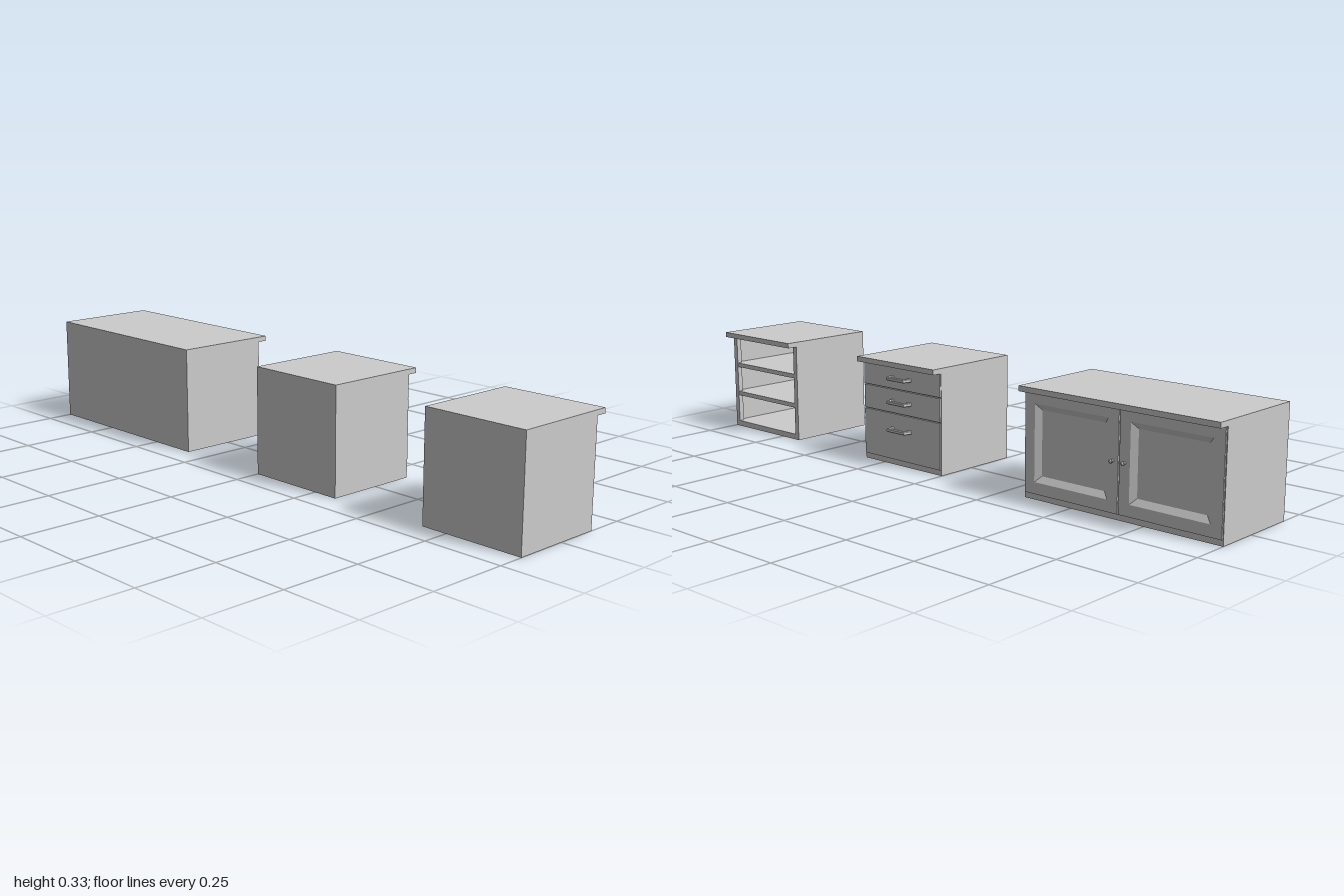
import * as THREE from 'three';

const grey = new THREE.MeshStandardMaterial({ color: 0xcccccc, flatShading: true, side: THREE.DoubleSide });
const H = 0.333, TOP = 0.317, RAIL = 0.018, BACK = -0.167, BODY = 0.133, FACE = 0.138, EDGE = 0.167;
const WALL = 0.002, BOARD = 0.0167;

function add(parent, name, geometry) {
  const mesh = new THREE.Mesh(geometry, grey);
  mesh.name = name;
  parent.add(mesh);
  return mesh;
}

// box given by its minimum and maximum on each axis
function block(parent, name, x0, x1, y0, y1, z0, z1) {
  const mesh = add(parent, name, new THREE.BoxGeometry(x1 - x0, y1 - y0, z1 - z0));
  mesh.position.set((x0 + x1) / 2, (y0 + y1) / 2, (z0 + z1) / 2);
  return mesh;
}

// hollow carcass without a floor, with worktop and bottom rail; its front is local +z
function carcass(name, width, x) {
  const g = new THREE.Group(), w = width / 2;
  g.name = name;
  block(g, 'worktop', -w, w, TOP, H, BACK, EDGE);
  block(g, 'backPanel', -w, w, 0, TOP, BACK, BACK + WALL);
  block(g, 'leftSide', w - WALL, w, 0, TOP, BACK, BODY);
  block(g, 'rightSide', -w, -w + WALL, 0, TOP, BACK, BODY);
  block(g, 'bottomRail', -w, w, 0, RAIL, BODY - BOARD, BODY);
  g.position.x = x;
  g.rotation.y = Math.PI;
  return g;
}

// door with a raised frame and a sloped, recessed panel, made from rectangular rings
function doorGeometry(width, height) {
  const rings = [[0, BODY], [0, FACE], [0.035, FACE], [0.053, FACE - 0.012]];
  const pos = [], index = [];
  for (const [inset, z] of rings) {
    const a = width / 2 - inset, b = height / 2 - inset;
    pos.push(-a, -b, z, a, -b, z, a, b, z, -a, b, z);
  }
  for (let r = 0; r < rings.length - 1; r++) {
    for (let k = 0; k < 4; k++) {
      const a = r * 4 + k, b = r * 4 + (k + 1) % 4;
      index.push(a, b, b + 4, a, b + 4, a + 4);
    }
  }
  const c = (rings.length - 1) * 4;
  index.push(c, c + 1, c + 2, c, c + 2, c + 3);
  const geo = new THREE.BufferGeometry();
  geo.setAttribute('position', new THREE.Float32BufferAttribute(pos, 3));
  geo.setIndex(index);
  const flat = geo.toNonIndexed();
  flat.computeVertexNormals();
  return flat;
}

// U-shaped drawer pull with slanted arms
function handleGeometry() {
  const pts = [[-0.042, 0], [-0.036, 0.026], [0.036, 0.026], [0.042, 0],
    [0.034, 0], [0.029, 0.018], [-0.029, 0.018], [-0.034, 0]];
  const shape = new THREE.Shape(pts.map(([x, y]) => new THREE.Vector2(x, y)));
  const geo = new THREE.ExtrudeGeometry(shape, {
    depth: 0.007, bevelEnabled: true, bevelThickness: 0.002, bevelSize: 0.002, bevelSegments: 1,
  });
  return geo.translate(0, 0, -0.0035).rotateX(Math.PI / 2);
}

// turned knob: slim stem and round head
function knobGeometry() {
  const profile = [[0.004, 0], [0.002, 0.002], [0.002, 0.008], [0.006, 0.01], [0.006, 0.012], [0.003, 0.015], [0, 0.0155]];
  return new THREE.LatheGeometry(profile.map(([r, y]) => new THREE.Vector2(r, y)), 12).rotateX(Math.PI / 2);
}

function doorCabinet() {
  const g = carcass('doorCabinet', 0.667, -0.667);
  const h = TOP - RAIL, mid = (TOP + RAIL) / 2;
  for (const s of [-1, 1]) {
    const side = s < 0 ? 'left' : 'right';
    add(g, side + 'Door', doorGeometry(0.329, h)).position.set(s * 0.1665, mid, 0);
    add(g, side + 'Knob', knobGeometry()).position.set(s * 0.02, 0.166, FACE);
  }
  return g;
}

function drawerCabinet() {
  const g = carcass('drawerCabinet', 0.333, 0.167), w = 0.1645;
  // bottom, top and handle height of each drawer
  const rows = [[RAIL, 0.164, 0.116], [0.167, 0.241, 0.204], [0.244, TOP, 0.279]];
  rows.forEach(([y0, y1, grip], i) => {
    block(g, 'drawerFront' + (i + 1), -w, w, y0, y1, BODY, FACE);
    add(g, 'drawerHandle' + (i + 1), handleGeometry()).position.set(0, grip, FACE);
    if (i > 0) block(g, 'dividerRail' + i, -w, w, y0 - 0.01, y0 + 0.007, BODY - BOARD, BODY - 0.001);
  });
  return g;
}

function shelfCabinet() {
  const g = carcass('shelfCabinet', 0.333, 0.833), w = 0.1665;
  for (const s of [-1, 1]) {
    block(g, s < 0 ? 'rightStile' : 'leftStile', s * w - (s > 0 ? BOARD : 0), s * w + (s < 0 ? BOARD : 0),
      RAIL, TOP, BODY - BOARD, BODY);
  }
  // floor and two shelves
  [0.009, 0.109, 0.209].forEach((y, i) => {
    block(g, i ? 'shelf' + i : 'floor', -w + WALL, w - WALL, y, y + (i ? 0.014 : 0.009), BACK + WALL, BODY - 0.002);
  });
  return g;
}

export function createModel() {
  const model = new THREE.Group();
  model.name = 'cabinetSet';
  model.add(doorCabinet(), drawerCabinet(), shelfCabinet());
  return model;
}
